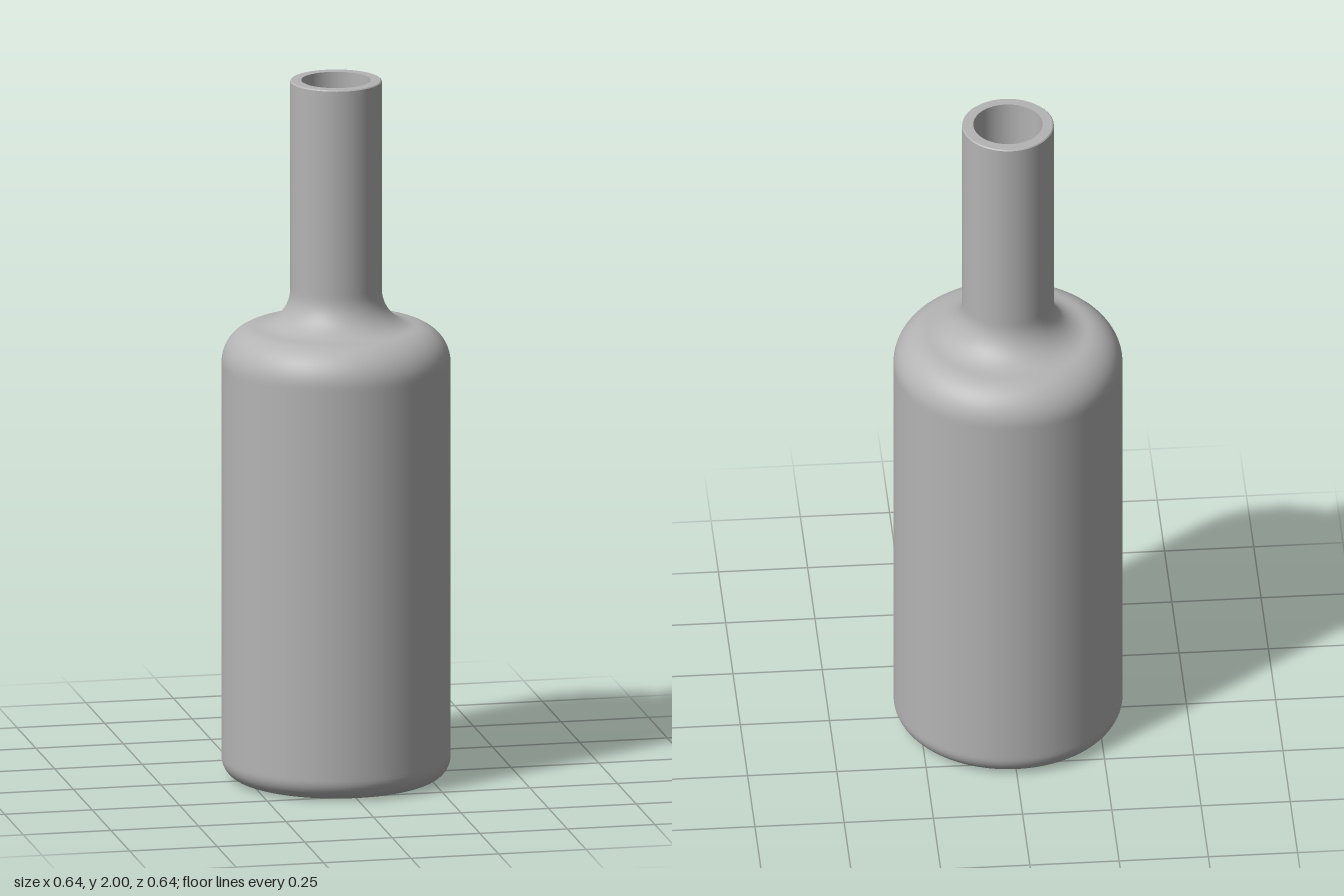
import * as THREE from 'three';

const SEGMENTS = 96;

// Points along an arc centred on (cx, cy), angles in degrees.
function arc(cx, cy, r, from, to, steps = 12) {
  return Array.from({ length: steps + 1 }, (_, i) => {
    const a = THREE.MathUtils.degToRad(from + (to - from) * i / steps);
    return new THREE.Vector2(cx + r * Math.cos(a), cy + r * Math.sin(a));
  });
}

// Bottle profile from base centre to rim, inset by the wall thickness t.
function profile(t) {
  return [
    new THREE.Vector2(0, t),
    new THREE.Vector2(0.25, t),
    ...arc(0.26, 0.06, 0.06 - t, -90, 0),
    new THREE.Vector2(0.32 - t, 0.07),
    new THREE.Vector2(0.32 - t, 1.18),
    ...arc(0.215, 1.19, 0.105 - t, 0, 84.8),
    ...arc(0.234, 1.4, 0.106 + t, 264.8, 180).slice(1),
    new THREE.Vector2(0.128 - t, 1.41),
    new THREE.Vector2(0.128 - t, 1.997),
  ];
}

export function createModel() {
  const bottle = new THREE.Group();
  bottle.name = 'bottle';
  const grey = new THREE.MeshStandardMaterial({ color: 0xb4b4b4 });
  grey.name = 'plain grey';

  const addLathe = (name, points) => {
    const mesh = new THREE.Mesh(new THREE.LatheGeometry(points, SEGMENTS), grey);
    mesh.name = name;
    bottle.add(mesh);
  };

  const wall = 0.031;
  addLathe('outerWall', profile(0));
  addLathe('innerWall', profile(wall).reverse());

  // Flat rim with a fine bevel on the outer edge
  addLathe('rimBevel', [new THREE.Vector2(0.128, 1.997), new THREE.Vector2(0.125, 2)]);
  addLathe('rim', [new THREE.Vector2(0.125, 2), new THREE.Vector2(0.128 - wall, 2)]);
  addLathe('rimInnerEdge', [new THREE.Vector2(0.128 - wall, 2), new THREE.Vector2(0.128 - wall, 1.997)]);

  return bottle;
}
